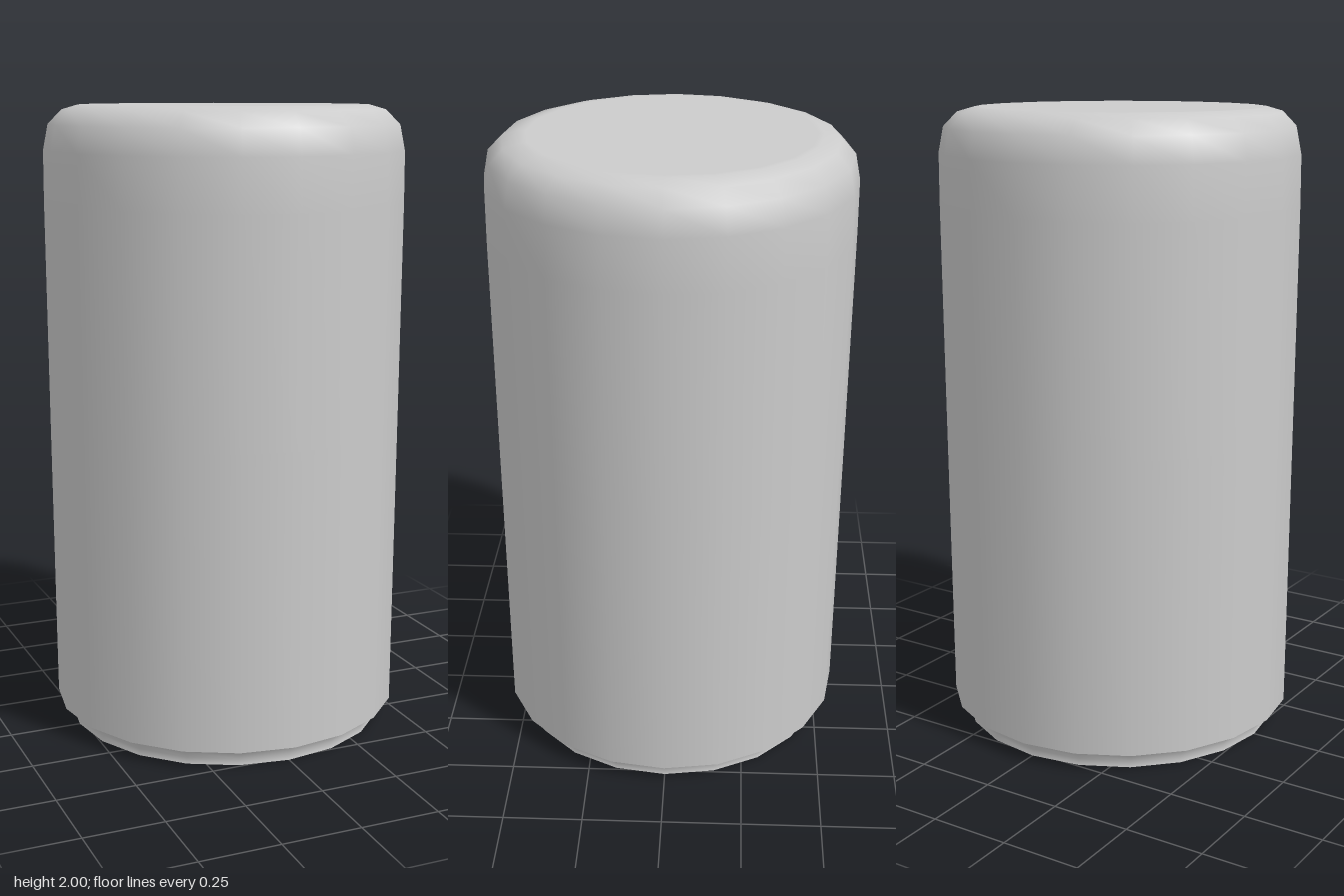
import * as THREE from 'three';

const SIDES = 20;

export function createModel() {
  const group = new THREE.Group();
  const material = new THREE.MeshStandardMaterial({ color: 0xcccccc });

  // Turns a profile of [radius, height] pairs, listed from bottom to top
  const turn = (name, profile) => {
    const points = profile.map(([r, y]) => new THREE.Vector2(r, y));
    const mesh = new THREE.Mesh(new THREE.LatheGeometry(points, SIDES), material);
    mesh.name = name;
    group.add(mesh);
  };

  // Slightly tapered body with a rounded shoulder and flat top
  turn('body', [
    [0.563, 0.06], [0.564, 0.2], [0.569, 1], [0.573, 1.7], [0.572, 1.86],
    [0.556, 1.94], [0.512, 1.985], [0.46, 2], [0.44, 2], [0, 2],
  ]);

  // Bevelled underside of the body
  turn('lowerRim', [[0.53, 0.045], [0.563, 0.06]]);

  // Recessed foot with a small waist
  turn('foot', [[0.518, 0], [0.515, 0.02], [0.53, 0.045]]);

  // Flat underside
  const base = new THREE.Mesh(new THREE.CircleGeometry(0.518, SIDES), material);
  base.rotation.x = Math.PI / 2;
  base.name = 'base';
  group.add(base);

  return group;
}
